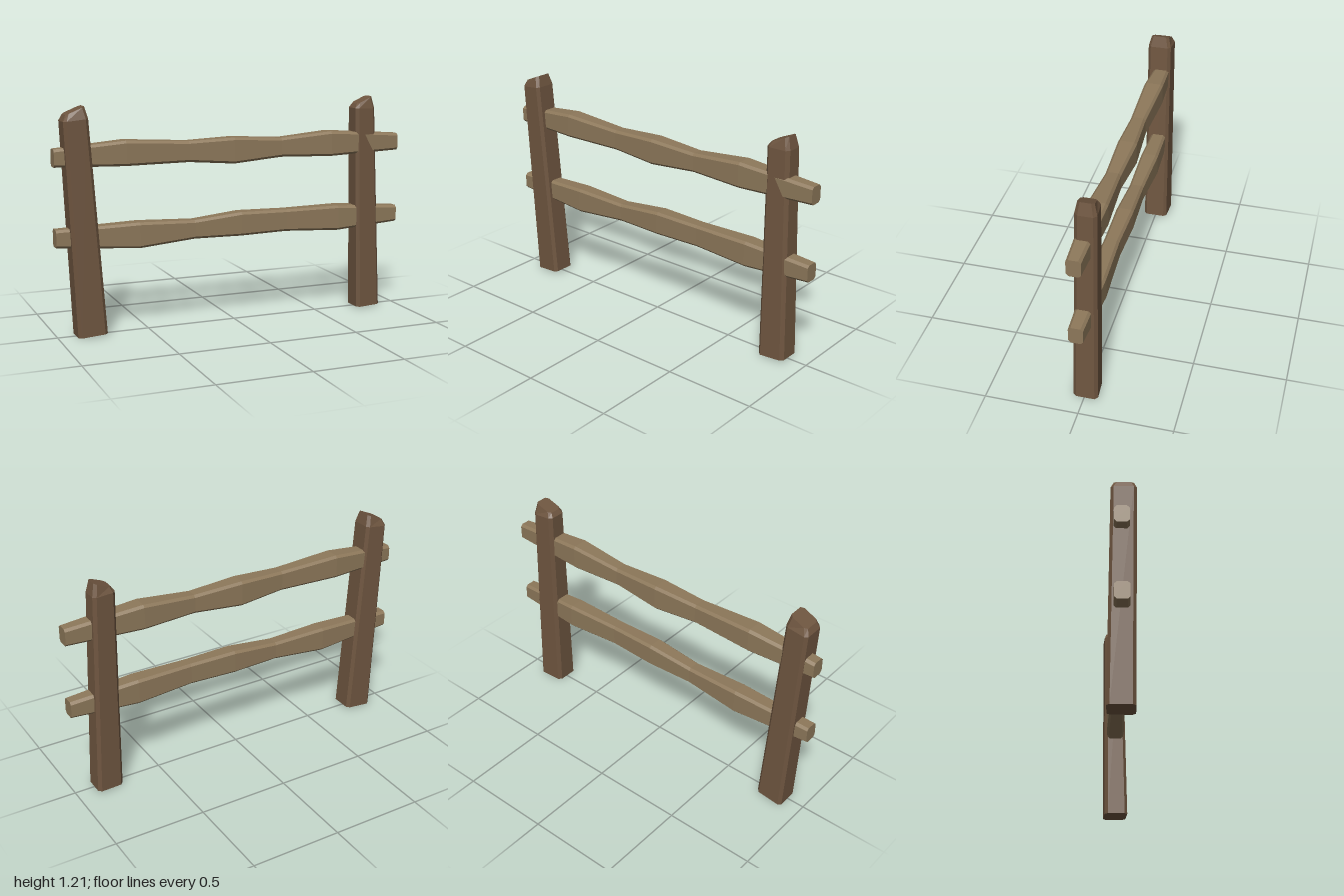
import * as THREE from 'three';

// Chamfered rectangle, counterclockwise in (a, b)
function octagon(a0, a1, b0, b1, c) {
  return [
    [a0 + c, b0], [a1 - c, b0], [a1, b0 + c], [a1, b1 - c],
    [a1 - c, b1], [a0 + c, b1], [a0, b1 - c], [a0, b0 + c],
  ];
}

// Faceted solid through a row of rings, closed at both ends
function loft(rings) {
  const n = rings[0].length;
  const index = [];
  for (let r = 0; r < rings.length - 1; r++) {
    for (let i = 0; i < n; i++) {
      const a = r * n + i, b = r * n + (i + 1) % n;
      index.push(a, b, b + n, a, b + n, a + n);
    }
  }
  const last = (rings.length - 1) * n;
  for (let i = 1; i < n - 1; i++) {
    index.push(0, i + 1, i);
    index.push(last, last + i, last + i + 1);
  }
  const geo = new THREE.BufferGeometry();
  geo.setAttribute('position', new THREE.Float32BufferAttribute(rings.flat(2), 3));
  geo.setIndex(index);
  const flat = geo.toNonIndexed();
  flat.computeVertexNormals();
  return flat;
}

// Upright post; each level is [y, slope of y along x, x0, x1, z0, z1, chamfer]
function post(levels, twist) {
  return loft(levels.map(([y, slope, x0, x1, z0, z1, c]) =>
    octagon(z0, z1, x0, x1, c).map(([z, x]) => {
      const dx = x - (x0 + x1) / 2;
      return [x, y + slope * dx, z + twist * dx];
    })));
}

// Wavy rail; each station is [x, bottom, top, back, front]
function rail(stations) {
  return loft(stations.map(([x, y0, y1, z0, z1]) =>
    octagon(y0, y1, z0, z1, 0.013).map(([y, z]) => [x, y, z])));
}

export function createModel() {
  const group = new THREE.Group();
  const postWood = new THREE.MeshStandardMaterial({ color: 0x6f5640 });
  postWood.name = 'dark post wood';
  const railWood = new THREE.MeshStandardMaterial({ color: 0x8d785a });
  railWood.name = 'light rail wood';

  const add = (name, geometry, material) => {
    const mesh = new THREE.Mesh(geometry, material);
    mesh.name = name;
    group.add(mesh);
  };

  // Posts, with a bevelled and slanted top
  add('rightPost', post([
    [0.008, 0.08, -0.9, -0.742, -0.072, 0.066, 0.016],
    [1.148, 0.1, -0.954, -0.824, -0.056, 0.075, 0.016],
    [1.196, 0.42, -0.938, -0.84, -0.04, 0.06, 0.014],
  ], 0.03), postWood);
  add('leftPost', post([
    [0.008, 0.03, 0.742, 0.892, -0.068, 0.065, 0.017],
    [1.15, -0.03, 0.726, 0.852, -0.072, 0.039, 0.017],
    [1.196, 0.42, 0.742, 0.836, -0.058, 0.026, 0.014],
  ], -0.08), postWood);

  // Rails
  add('upperRail', rail([
    [-1, 0.907, 1.0, -0.04, 0.035],
    [-0.62, 0.897, 1.03, -0.058, 0.048],
    [-0.27, 0.899, 1.011, -0.042, 0.041],
    [-0.01, 0.878, 1.02, -0.056, 0.047],
    [0.27, 0.9, 1.005, -0.042, 0.04],
    [0.57, 0.891, 1.03, -0.055, 0.051],
    [1, 0.905, 1.0, -0.04, 0.035],
  ]), railWood);
  add('lowerRail', rail([
    [-1, 0.488, 0.582, -0.04, 0.037],
    [-0.55, 0.454, 0.593, -0.052, 0.046],
    [-0.24, 0.48, 0.582, -0.04, 0.04],
    [0.03, 0.477, 0.608, -0.05, 0.046],
    [0.3, 0.482, 0.604, -0.042, 0.042],
    [0.62, 0.465, 0.606, -0.054, 0.048],
    [1, 0.488, 0.582, -0.04, 0.036],
  ]), railWood);

  return group;
}
